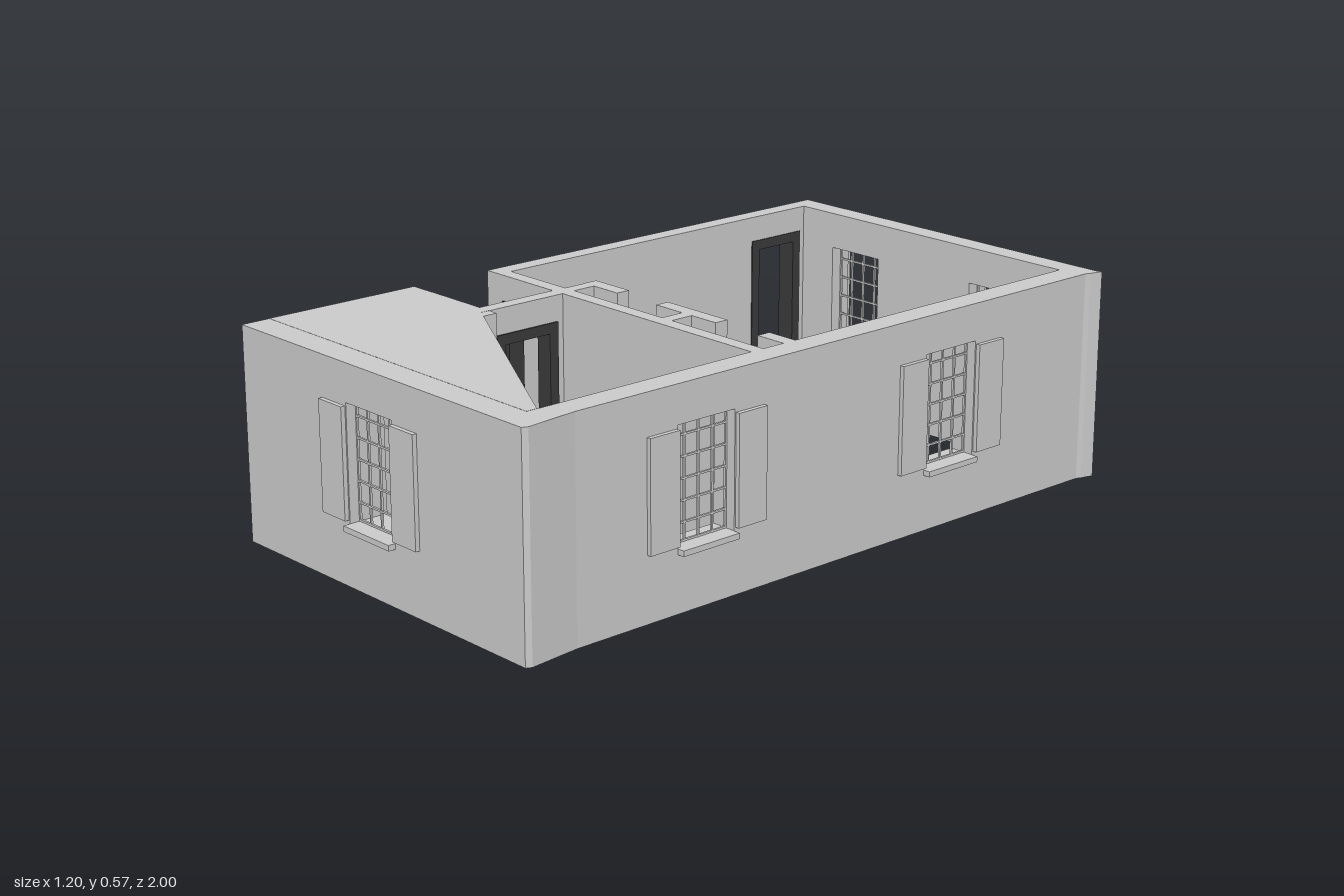
import * as THREE from 'three';

const H = 0.57;
const WIN = { w: 0.18, y0: 0.165, y1: 0.47 };
const grey = new THREE.MeshStandardMaterial({ color: 0xcccccc, side: THREE.DoubleSide });
const dark = new THREE.MeshStandardMaterial({ color: 0x3a3a3a });

function box(parent, name, w, h, d, x, y, z, mat = grey) {
  const m = new THREE.Mesh(new THREE.BoxGeometry(w, h, d), mat);
  m.name = name;
  m.position.set(x, y, z);
  parent.add(m);
  return m;
}

// Upright wall between two plan points; windows and doors are distances along it
function wall(parent, name, [x1, z1], [x2, z2], t, windows = [], doors = []) {
  const dx = x2 - x1, dz = z2 - z1, len = Math.hypot(dx, dz);
  const s = new THREE.Shape();
  s.moveTo(0, 0);
  for (const [a, b, top] of doors) {
    s.lineTo(a, 0); s.lineTo(a, top); s.lineTo(b, top); s.lineTo(b, 0);
  }
  s.lineTo(len, 0); s.lineTo(len, H); s.lineTo(0, H); s.closePath();
  for (const c of windows) {
    const a = c - WIN.w / 2, b = c + WIN.w / 2, p = new THREE.Path();
    p.moveTo(a, WIN.y0); p.lineTo(a, WIN.y1); p.lineTo(b, WIN.y1); p.lineTo(b, WIN.y0);
    p.closePath();
    s.holes.push(p);
  }
  const g = new THREE.ExtrudeGeometry(s, { depth: t, bevelEnabled: false });
  g.translate(0, 0, -t / 2);
  const m = new THREE.Mesh(g, grey);
  m.name = name;
  m.position.set(x1, 0, z1);
  m.rotation.y = -Math.atan2(dz, dx);
  parent.add(m);
}

// Barred window with sill and two open shutters; local +z points outdoors from the wall face
function barredWindow(parent, x, z, turn, depth) {
  const g = new THREE.Group();
  g.name = 'window';
  const { w, y0, y1 } = WIN, h = y1 - y0, mid = (y0 + y1) / 2;
  for (let i = 0; i <= 4; i++) {
    box(g, 'verticalBar', 0.005, h, 0.006, (i / 4 - 0.5) * w * 0.98, mid, -depth);
  }
  for (let i = 0; i <= 6; i++) {
    const y = Math.min(y0 + 0.045 + (i - 1) * 0.0545 + 0.004, y1 - 0.003);
    box(g, 'crossBar', w, 0.005, 0.006, 0, Math.max(y, y0 + 0.003), -depth);
  }
  box(g, 'sill', w, 0.015, 0.06, 0, y0 - 0.0075, -0.01);
  for (const s of [-1, 1]) box(g, 'shutter', 0.092, 0.288, 0.012, s * 0.14, 0.317, 0.006);
  g.position.set(x, 0, z);
  g.rotation.y = turn;
  parent.add(g);
}

// Dark door surround: local x along the wall, z through it
function doorFrame(parent, x, z, turn, w, t) {
  const g = new THREE.Group();
  g.name = 'doorFrame';
  for (const s of [-1, 1]) box(g, 'jamb', 0.028, 0.5, t, s * (w / 2 - 0.014), 0.25, 0, dark);
  box(g, 'lintel', w, 0.028, t, 0, 0.486, 0, dark);
  g.position.set(x, 0, z);
  g.rotation.y = turn;
  parent.add(g);
}

// Flat plan outline raised between two heights
function slab(parent, name, pts, y0, y1) {
  const s = new THREE.Shape(pts.map(([x, z]) => new THREE.Vector2(x, -z)));
  const g = new THREE.ExtrudeGeometry(s, { depth: y1 - y0, bevelEnabled: false });
  g.rotateX(-Math.PI / 2);
  g.translate(0, y0, 0);
  const m = new THREE.Mesh(g, grey);
  m.name = name;
  parent.add(m);
}

export function createModel() {
  const house = new THREE.Group();
  house.name = 'house';

  // Outer walls
  wall(house, 'frontWall', [-0.5, 0.925], [0.582, 0.925], 0.11, [0.52]);
  wall(house, 'backWall', [-0.5, -0.9475], [0.582, -0.9475], 0.065, [0.26, 0.785]);
  wall(house, 'rightSideWall', [0.546, -0.915], [0.546, 0.87], 0.072, [0.495, 1.335]);
  wall(house, 'leftSideWall', [-0.475, -0.915], [-0.475, 0.21], 0.05, [], [[0.02, 0.205, 0.495]]);
  wall(house, 'porchSideWall', [-0.46, 0.45], [-0.46, 0.87], 0.08);

  // Flared corners on the windowed long side
  slab(house, 'frontCornerFlare', [[0.58, 0.8], [0.588, 0.88], [0.597, 0.965], [0.59, 0.98], [0.58, 0.98]], 0, H);
  slab(house, 'backCornerFlare', [[0.58, -0.93], [0.588, -0.95], [0.597, -0.985], [0.58, -0.98]], 0, H);

  // Inner walls
  wall(house, 'dividingWall', [-0.45, 0.19], [0.51, 0.19], 0.04, [], [[0.02, 0.2, 0.495]]);
  wall(house, 'hallWall', [-0.21, 0.21], [-0.21, 0.47], 0.04, [], [[0.025, 0.215, 0.495]]);
  wall(house, 'porchInnerWall', [-0.18, 0.45], [-0.18, 0.87], 0.04);
  wall(house, 'porchBackWall', [-0.42, 0.62], [-0.2, 0.62], 0.04);

  // Closet fronts and partitions
  for (const [a, b] of [[-0.23, -0.1], [0.05, 0.27], [0.42, 0.51]]) {
    wall(house, 'closetFront', [a, 0.083], [b, 0.083], 0.04);
  }
  for (const x of [-0.21, 0.165]) wall(house, 'closetPartition', [x, 0.103], [x, 0.17], 0.036);

  // Partial roof over the porch and the front room
  slab(house, 'porchRoof',
    [[-0.5, 0.455], [-0.42, 0.45], [-0.19, 0.45], [-0.19, 0.475], [0.51, 0.87], [0.51, 0.9], [-0.5, 0.9]],
    H - 0.002, H + 0.0005);

  // Windows
  barredWindow(house, 0.02, 0.98, 0, 0.03);
  for (const x of [-0.24, 0.285]) barredWindow(house, x, -0.98, Math.PI, 0.03);
  for (const z of [-0.42, 0.42]) barredWindow(house, 0.582, z, Math.PI / 2, 0.03);

  // Door surrounds
  doorFrame(house, -0.475, -0.803, Math.PI / 2, 0.19, 0.056);
  doorFrame(house, -0.34, 0.19, 0, 0.19, 0.05);
  doorFrame(house, -0.21, 0.33, Math.PI / 2, 0.2, 0.05);

  // Outer door standing ajar
  const door = new THREE.Group();
  door.name = 'outerDoor';
  box(door, 'doorLeaf', 0.125, 0.465, 0.01, -0.0625, 0.2375, 0);
  for (const s of [-1, 1]) {
    const knob = new THREE.Mesh(new THREE.SphereGeometry(0.006, 10, 8), grey);
    knob.name = 'doorKnob';
    knob.position.set(-0.115, 0.24, s * 0.009);
    door.add(knob);
  }
  door.position.set(-0.505, 0, -0.745);
  door.rotation.y = -Math.PI / 4;
  house.add(door);

  return house;
}
